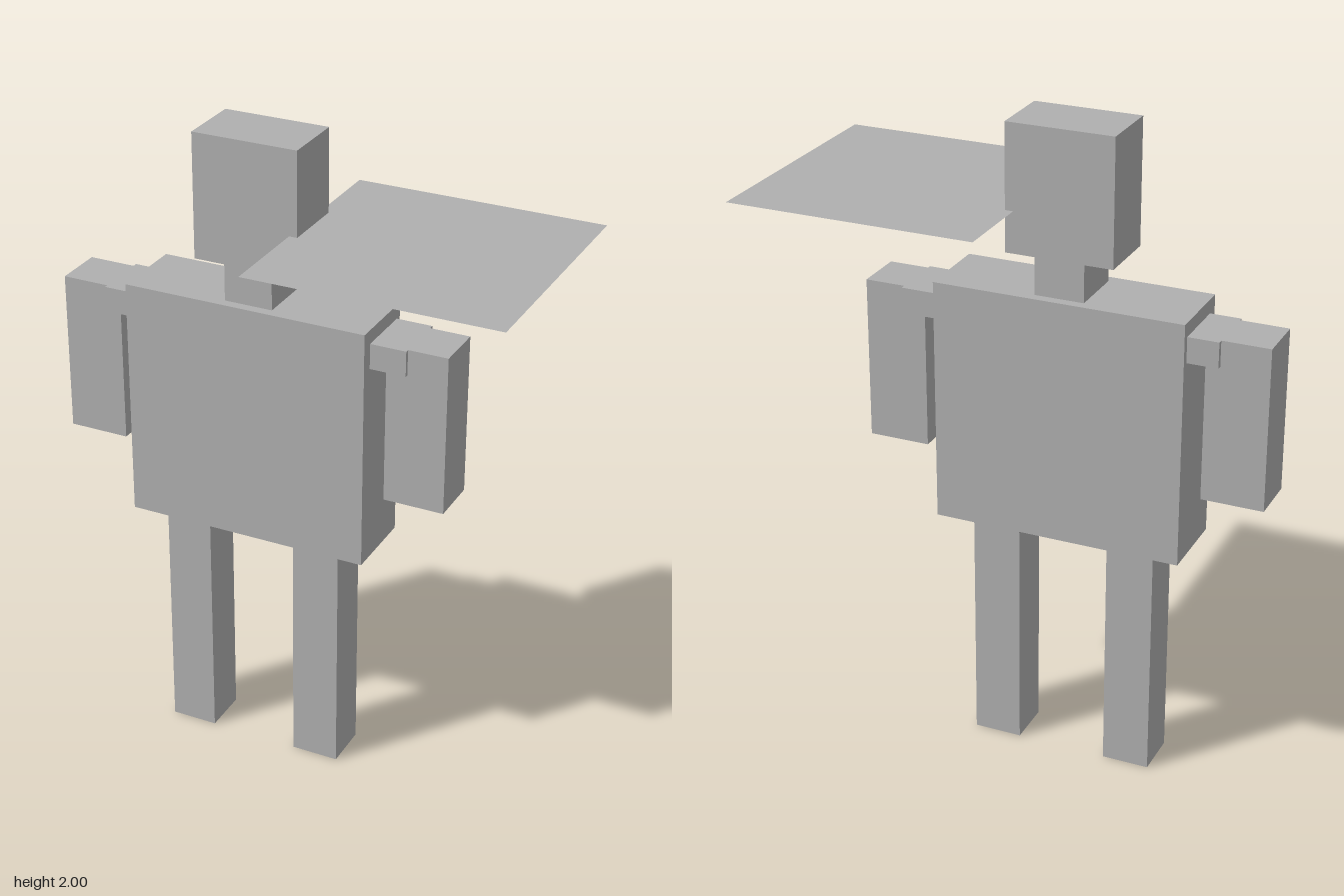
import * as THREE from 'three';

export function createModel() {
  const model = new THREE.Group();
  model.name = 'blockFigure';

  const grey = new THREE.MeshStandardMaterial({ color: 0xb0b0b0, side: THREE.DoubleSide });
  grey.name = 'plain grey';

  // Box given by its extents along each axis
  function block(name, [x0, x1], [y0, y1], [z0, z1]) {
    const mesh = new THREE.Mesh(new THREE.BoxGeometry(x1 - x0, y1 - y0, z1 - z0), grey);
    mesh.position.set((x0 + x1) / 2, (y0 + y1) / 2, (z0 + z1) / 2);
    mesh.name = name;
    model.add(mesh);
  }

  // Body and head
  block('torso', [-0.522, 0.24], [0.757, 1.503], [-0.14, 0.1]);
  block('neck', [-0.212, -0.062], [1.503, 1.62], [-0.11, 0.07]);
  block('head', [-0.302, 0.023], [1.62, 2], [-0.12, 0.08]);

  // Legs
  block('rightLeg', [-0.425, -0.28], [0, 0.757], [-0.08, 0.065]);
  block('leftLeg', [0, 0.148], [0, 0.757], [-0.08, 0.065]);

  // Shoulders and arms
  block('rightShoulder', [-0.615, -0.522], [1.382, 1.46], [-0.12, 0.062]);
  block('leftShoulder', [0.24, 0.35], [1.382, 1.46], [-0.12, 0.062]);
  block('rightArm', [-0.76, -0.572], [0.965, 1.46], [-0.105, 0.05]);
  block('leftArm', [0.285, 0.472], [0.965, 1.46], [-0.105, 0.05]);

  // Flat sheet beside the head
  const sheet = new THREE.Mesh(new THREE.PlaneGeometry(0.76, 0.76), grey);
  sheet.rotation.x = -Math.PI / 2;
  sheet.position.set(0.378, 1.745, 0);
  sheet.name = 'flatSheet';
  model.add(sheet);

  return model;
}
